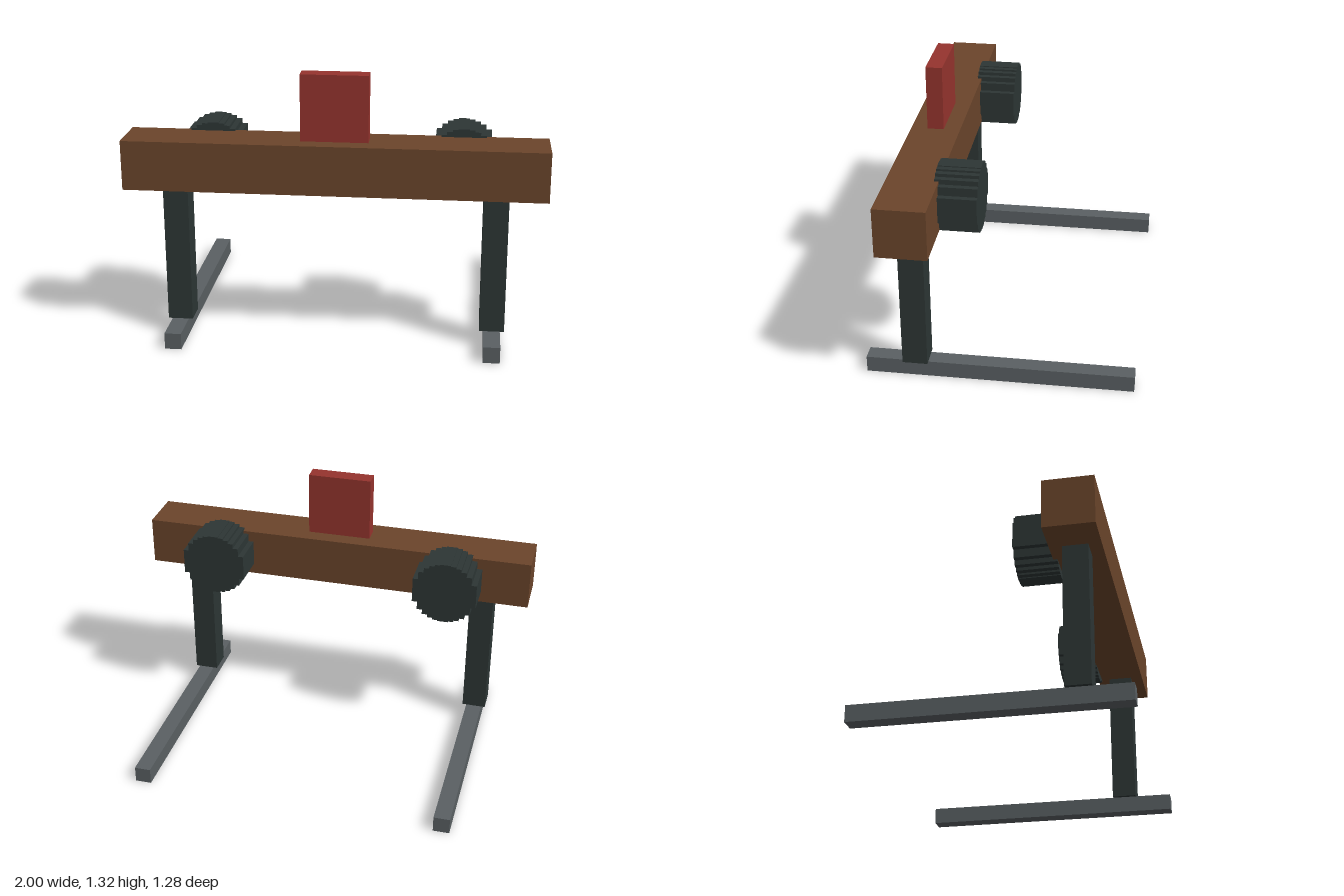
import * as THREE from 'three';

const material = (name, color) => {
  const m = new THREE.MeshStandardMaterial({ color });
  m.name = name;
  return m;
};

// Stepped disc outline: equal-width columns whose height follows a circle
function steppedDisc(radius, columns) {
  const w = (2 * radius) / columns;
  const top = [], bottom = [];
  for (let i = 0; i < columns; i++) {
    const x = -radius + i * w;
    const mid = x + w / 2;
    const h = Math.sqrt(radius * radius - mid * mid);
    top.push(new THREE.Vector2(x, h), new THREE.Vector2(x + w, h));
    bottom.push(new THREE.Vector2(x, -h), new THREE.Vector2(x + w, -h));
  }
  // The two middle columns share a height, so drop their doubled points
  const points = [...bottom, ...top.reverse()];
  return new THREE.Shape(points.filter((p, i) => i === 0 || p.distanceTo(points[i - 1]) > 1e-6));
}

export function createModel() {
  const group = new THREE.Group();
  group.name = 'barrier';

  const wood = material('brown wood', 0x6b452b);
  const red = material('red', 0x95342e);
  const dark = material('dark metal', 0x2d3635);
  const grey = material('grey metal', 0x5a6063);

  const add = (name, geometry, mat, x, y, z) => {
    const mesh = new THREE.Mesh(geometry, mat);
    mesh.name = name;
    mesh.position.set(x, y, z);
    group.add(mesh);
  };

  // Crossbeam and the upright plate on it
  add('beam', new THREE.BoxGeometry(2, 0.24, 0.24), wood, 0, 0.88, 0.4);
  add('plate', new THREE.BoxGeometry(0.32, 0.32, 0.08), red, 0, 1.16, 0.4);

  // Mirrored supports: foot rail, post and stepped drum behind the beam
  const rail = new THREE.BoxGeometry(0.08, 0.08, 1.28);
  const post = new THREE.BoxGeometry(0.12, 0.68, 0.12);
  const drum = new THREE.ExtrudeGeometry(steppedDisc(0.16, 12), { depth: 0.2, bevelEnabled: false });
  for (const [side, s] of [['left', 1], ['right', -1]]) {
    add(side + 'Rail', rail, grey, s * 0.76, 0.04, 0);
    add(side + 'Post', post, dark, s * 0.76, 0.42, 0.4);
    add(side + 'Drum', drum, dark, s * 0.6, 0.88, 0.1);
  }

  return group;
}
